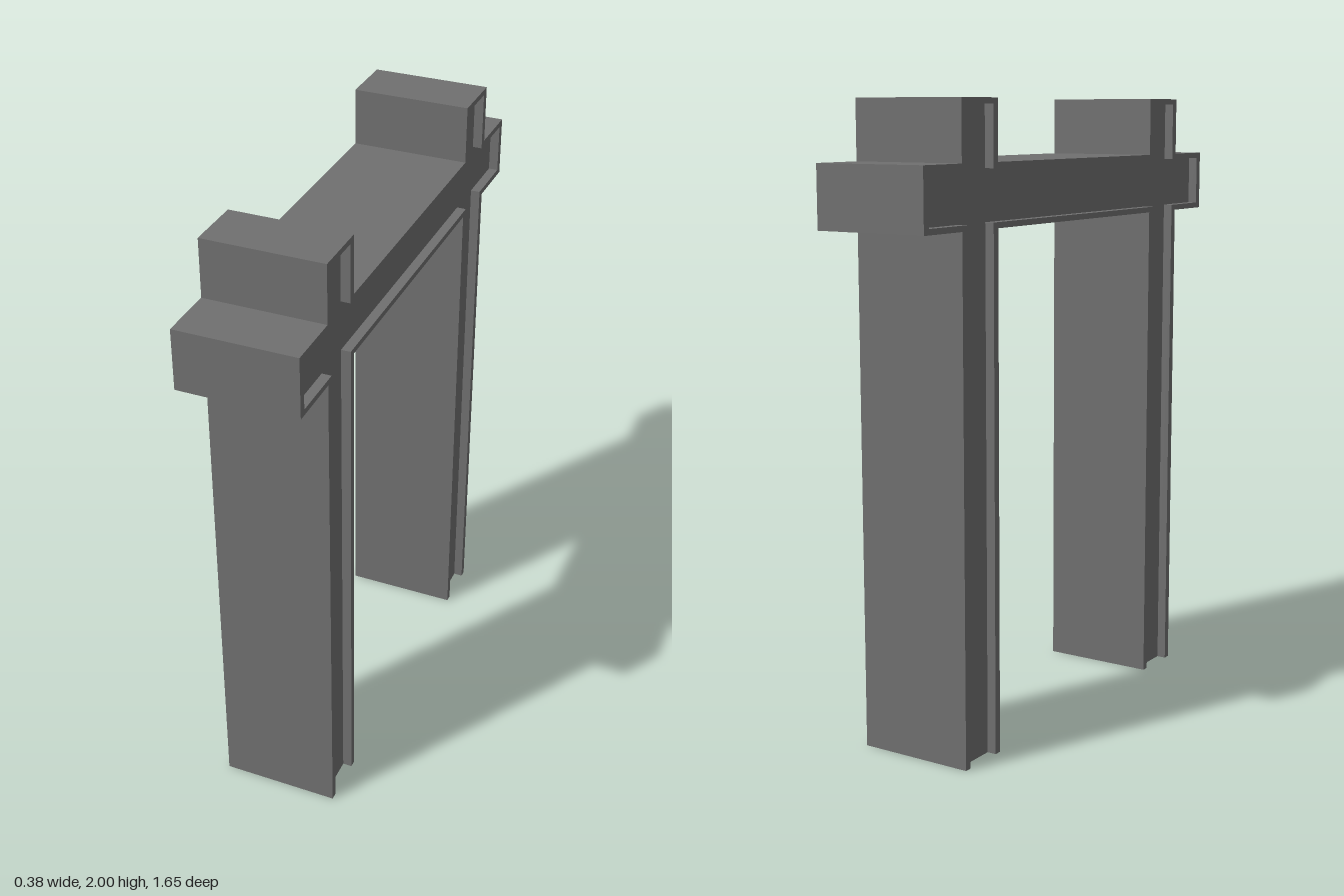
import * as THREE from 'three';

const HALF_WIDTH = 0.19, RIM = 0.018, RECESS = 0.03;
const RIM_Z = 1.33; // rims are wider along z than along y

// Gate silhouette as [z, y] points, counter-clockwise, shrunk by an inset (legs stay open to the ground)
function outline(i) {
  const j = i * RIM_Z;
  const legIn = 0.457 + j, legOut = 0.64 - j, end = 0.823 - j;
  const low = 1.622 + i, high = 1.815 - i, top = 2 - i;
  const half = [
    [legIn, low], [legIn, 0], [legOut, 0], [legOut, low], [end, low],
    [end, high], [legOut, high], [legOut, top], [legIn, top], [legIn, high],
  ];
  return [...half, ...half.map(([z, y]) => [-z, y]).reverse()];
}

// Strip of quads joining successive copies of the outline, each { inset, x }
function skin(sections) {
  const pos = [];
  const rings = sections.map(({ inset, x }) => outline(inset).map(([z, y]) => [x, y, z]));
  for (let s = 0; s < rings.length - 1; s++) {
    const p = rings[s], q = rings[s + 1];
    for (let k = 0; k < p.length; k++) {
      const n = (k + 1) % p.length;
      if (p[k][1] === 0 && p[n][1] === 0) continue; // open underside of each leg
      pos.push(...p[k], ...p[n], ...q[k], ...p[n], ...q[n], ...q[k]);
    }
  }
  const g = new THREE.BufferGeometry();
  g.setAttribute('position', new THREE.Float32BufferAttribute(pos, 3));
  g.computeVertexNormals();
  return g;
}

export function createModel() {
  const group = new THREE.Group();
  group.name = 'gate';
  const material = new THREE.MeshStandardMaterial({ color: 0x707070, flatShading: true, side: THREE.DoubleSide });

  // Outer walls, raised rims and recess walls in one sweep from left to right
  const frame = new THREE.Mesh(skin([
    { inset: RIM, x: HALF_WIDTH - RECESS },
    { inset: RIM, x: HALF_WIDTH },
    { inset: 0, x: HALF_WIDTH },
    { inset: 0, x: -HALF_WIDTH },
    { inset: RIM, x: -HALF_WIDTH },
    { inset: RIM, x: -HALF_WIDTH + RECESS },
  ]), material);
  frame.name = 'frame';
  group.add(frame);

  // Recessed panel on each side
  const shape = new THREE.Shape(outline(RIM).map(([z, y]) => new THREE.Vector2(z, y)));
  for (const side of [1, -1]) {
    const panel = new THREE.Mesh(new THREE.ShapeGeometry(shape), material);
    panel.name = side > 0 ? 'leftPanel' : 'rightPanel';
    panel.rotation.y = side * Math.PI / 2;
    panel.position.x = side * (HALF_WIDTH - RECESS);
    group.add(panel);
  }
  return group;
}
